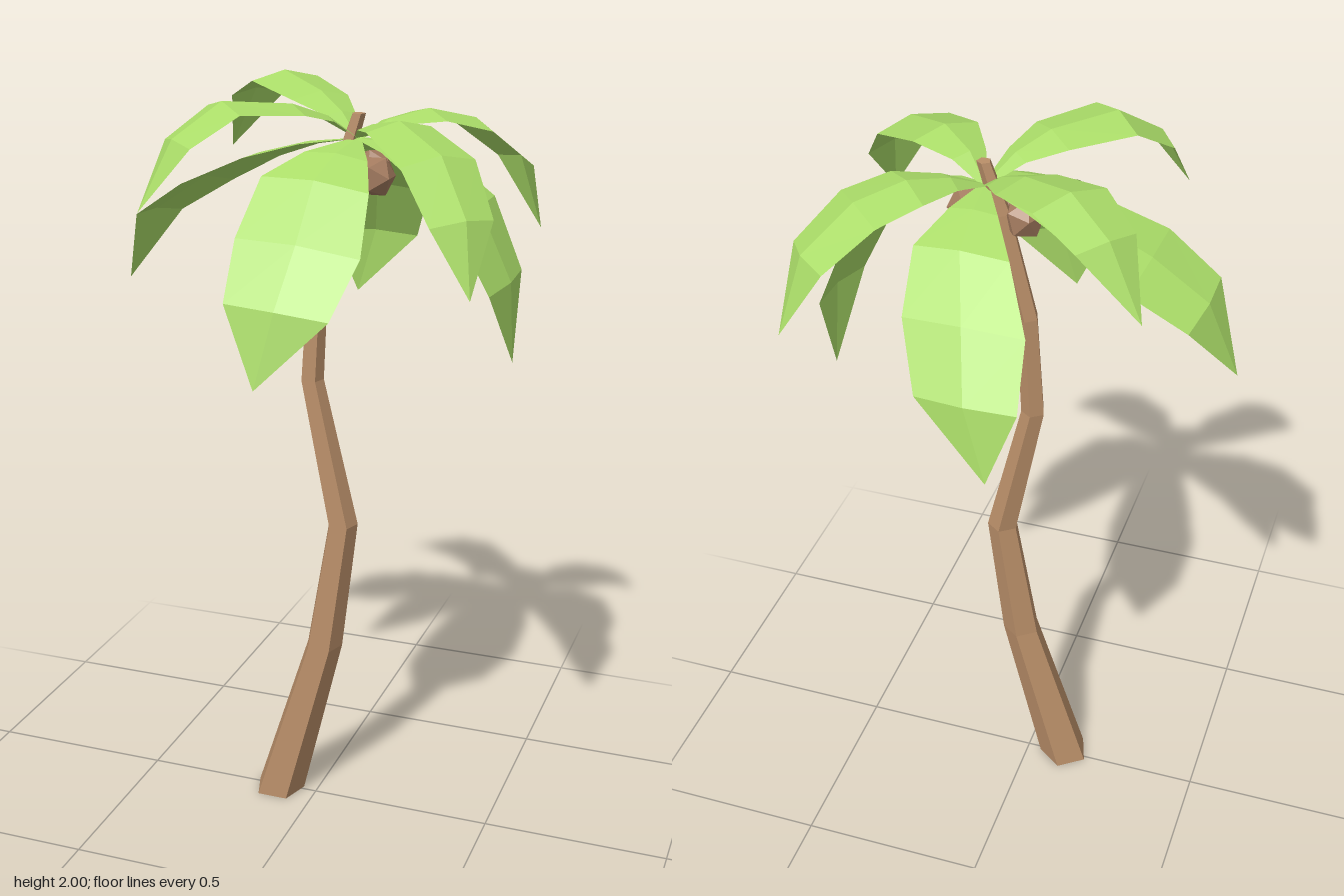
import * as THREE from 'three';

const frondGreen = new THREE.MeshStandardMaterial({ color: 0xaadc68, flatShading: true, side: THREE.DoubleSide });
frondGreen.name = 'frondGreen';
const barkBrown = new THREE.MeshStandardMaterial({ color: 0xba8f69, flatShading: true, side: THREE.DoubleSide });
barkBrown.name = 'barkBrown';
const coconutBrown = new THREE.MeshStandardMaterial({ color: 0xa27a5e, flatShading: true });
coconutBrown.name = 'coconutBrown';

// Trunk rings from bottom to top, the last one closing the tip: [x, y, z, radius]
const TRUNK = [
  [-0.108, 0, 0.01, 0.0715], [0.025, 0.475, 0.008, 0.052], [0.077, 0.842, 0.006, 0.042], [-0.01, 1.238, 0.004, 0.032],
  [0.005, 1.52, 0.003, 0.029], [0.07, 1.8, 0.002, 0.025], [0.112, 1.93, 0, 0.018], [0.112, 1.93, 0, 0],
];

// Fronds: blade side direction, fold depth, and midrib rows [x, y, z, half width] from crown to tip
const CROWN = [0.11, 1.87, 0, 0.01];
const FRONDS = {
  lowerRight: { side: [-0.1, 0.12, 1], fold: 0.12, rows: [[-0.02, 1.855, 0, 0.06], [-0.15, 1.82, 0, 0.105], [-0.305, 1.75, -0.007, 0.14], [-0.45, 1.655, -0.015, 0.117], [-0.53, 1.465, -0.01, 0]] },
  lowerLeft: { side: [0.1, 0.08, -1], fold: 0.12, rows: [[0.2, 1.86, 0, 0.065], [0.29, 1.83, 0, 0.12], [0.425, 1.72, 0, 0.143], [0.507, 1.535, -0.013, 0.118], [0.51, 1.32, -0.05, 0]] },
  lowerFront: { side: [-1, 0.1, 0.04], fold: 0.12, rows: [[0.095, 1.85, 0.12, 0.08], [0.075, 1.8, 0.22, 0.135], [0.075, 1.67, 0.345, 0.155], [0.055, 1.53, 0.438, 0.13], [0.015, 1.345, 0.472, 0]] },
  lowerBack: { side: [1, 0, 0.02], fold: 0.12, rows: [[0.105, 1.855, -0.1, 0.06], [0.098, 1.81, -0.215, 0.118], [0.05, 1.695, -0.35, 0.15], [0.015, 1.545, -0.448, 0.126], [-0.045, 1.36, -0.475, 0]] },
  upperLeftBack: { side: [0.7, 0, 0.72], fold: 0.22, rows: [[0.17, 1.91, -0.068, 0.048], [0.25, 1.93, -0.146, 0.095], [0.348, 1.9, -0.232, 0.106], [0.447, 1.795, -0.325, 0.09], [0.497, 1.6, -0.375, 0]] },
  upperLeftFront: { side: [-0.61, 0, 0.79], fold: 0.22, rows: [[0.17, 1.915, 0.065, 0.048], [0.26, 1.938, 0.14, 0.093], [0.4, 1.885, 0.268, 0.106], [0.488, 1.76, 0.363, 0.09], [0.518, 1.593, 0.425, 0]] },
  upperRightFront: { side: [-0.7, 0, -0.71], fold: 0.22, rows: [[0.055, 1.93, 0.065, 0.045], [-0.01, 1.965, 0.138, 0.085], [-0.142, 1.98, 0.257, 0.102], [-0.23, 1.9, 0.352, 0.084], [-0.292, 1.735, 0.42, 0]] },
  upperRightBack: { side: [0.6, 0, -0.8], fold: 0.22, rows: [[0.05, 1.925, -0.052, 0.045], [-0.025, 1.965, -0.11, 0.085], [-0.163, 2, -0.212, 0.101], [-0.275, 1.94, -0.291, 0.083], [-0.367, 1.775, -0.342, 0]] },
};

// Folded leaf blade: each row is an edge, a raised midrib and an edge
function frondGeometry(rows, sideDirection, fold) {
  const mids = rows.map(r => new THREE.Vector3(r[0], r[1], r[2]));
  const last = rows.length - 1;
  const side = new THREE.Vector3(...sideDirection).normalize();
  // Point the side vector so that the blade's normal faces up
  if (side.clone().cross(mids[last].clone().sub(mids[0])).y < 0) side.negate();
  const positions = [], index = [];
  mids.forEach((mid, i) => {
    const tangent = mids[Math.min(i + 1, last)].clone().sub(mids[Math.max(i - 1, 0)]);
    const normal = side.clone().cross(tangent).normalize();
    const w = rows[i][3];
    for (const s of [-1, 0, 1]) {
      const p = mid.clone().addScaledVector(side, s * w).addScaledVector(normal, -Math.abs(s) * w * fold);
      positions.push(p.x, p.y, p.z);
    }
    if (i === last) return;
    for (const k of [0, 1]) {
      const a = i * 3 + k, b = a + 1, c = a + 3, d = a + 4;
      index.push(a, b, d);
      if (i < last - 1) index.push(a, d, c);
    }
  });
  const geometry = new THREE.BufferGeometry();
  geometry.setAttribute('position', new THREE.Float32BufferAttribute(positions, 3));
  geometry.setIndex(index);
  const flat = geometry.toNonIndexed();
  flat.computeVertexNormals();
  return flat;
}

// Five-sided tube, open below, whose rings follow the bent trunk, flat side to the front
function trunkGeometry() {
  const n = TRUNK.length - 1;
  const geometry = new THREE.CylinderGeometry(1, 1, n, 5, n, true, Math.PI / 5).toNonIndexed();
  const pos = geometry.attributes.position;
  for (let i = 0; i < pos.count; i++) {
    const [x, y, z, r] = TRUNK[Math.round(pos.getY(i) + n / 2)];
    pos.setXYZ(i, x + pos.getX(i) * r, y, z + pos.getZ(i) * r);
  }
  geometry.computeVertexNormals();
  return geometry;
}

export function createModel() {
  const palm = new THREE.Group();
  palm.name = 'palmTree';
  const add = (name, geometry, material) => {
    const mesh = new THREE.Mesh(geometry, material);
    mesh.name = name;
    palm.add(mesh);
    return mesh;
  };

  add('trunk', trunkGeometry(), barkBrown);

  for (const [name, { side, fold, rows }] of Object.entries(FRONDS)) {
    add(name + 'Frond', frondGeometry([CROWN, ...rows], side, fold), frondGreen);
  }

  // Coconuts clustered below the crown
  const nuts = [[0.168, 1.785, 0.04], [0.13, 1.785, -0.068], [0.02, 1.785, 0.02], [0.075, 1.775, 0.07]];
  nuts.forEach(([x, y, z], i) => {
    const nut = add('coconut' + (i + 1), new THREE.IcosahedronGeometry(0.054, 0), coconutBrown);
    nut.position.set(x, y, z);
    nut.rotation.set(i, i * 1.7, 0);
  });

  return palm;
}
